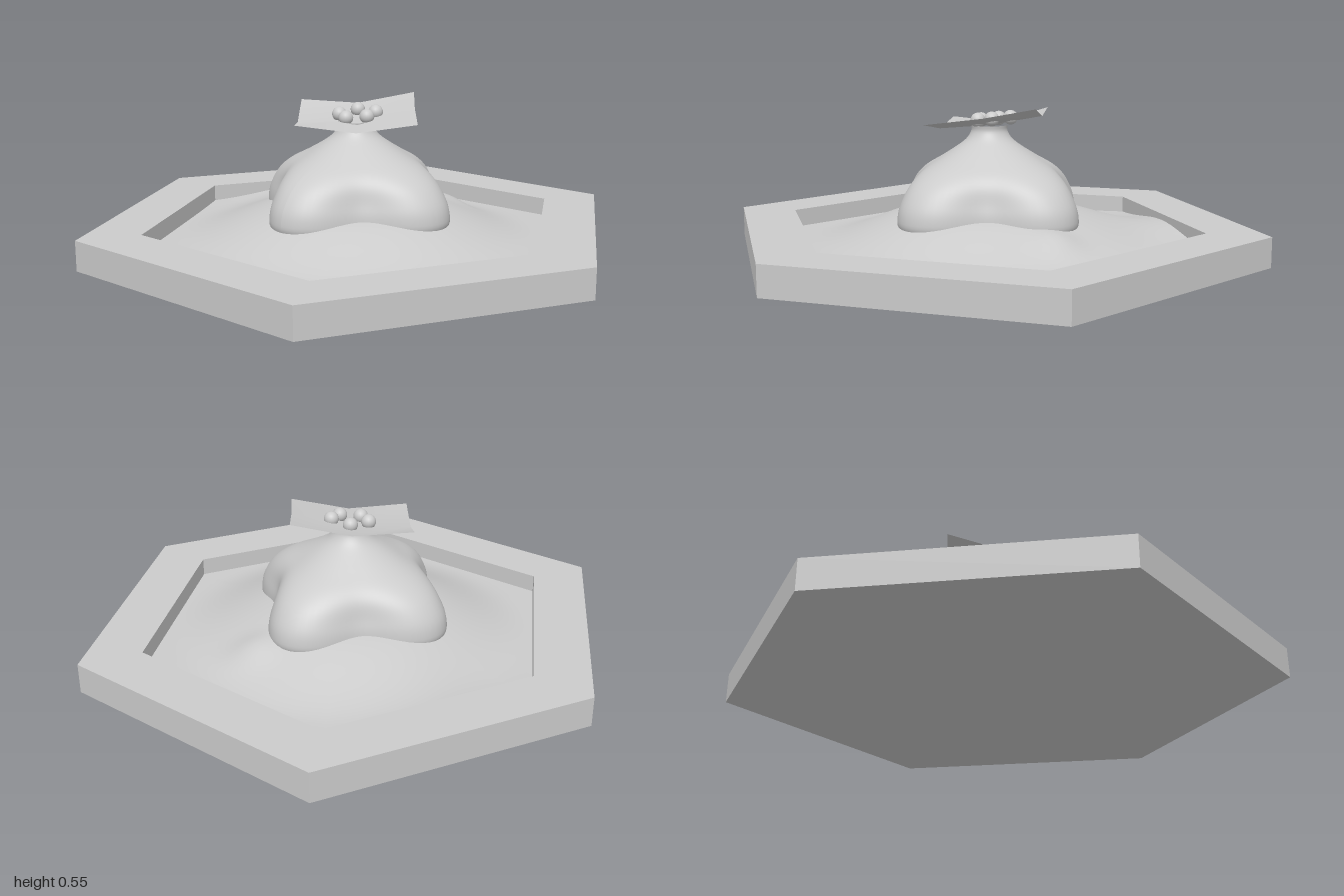
import * as THREE from 'three';

const grey = () => new THREE.MeshStandardMaterial({ color: 0xcccccc });
const bump = (x, z, cx, cz, w) => Math.exp(-((x - cx) ** 2 + (z - cz) ** 2) / (w * w));

// Six corners of a flat-topped hexagon
const hexagon = (tip, x, z) => [[tip, 0], [x, z], [-x, z], [-tip, 0], [-x, -z], [x, -z]]
  .map(([a, b]) => new THREE.Vector2(a, b));

// Ground height: low at the rim, rising to the foot of the mound and the back left edge
function groundHeight(x, z) {
  const r = Math.hypot(x, z);
  const t = 1 - THREE.MathUtils.smoothstep(r, 0.22, 0.68);
  return 0.043 + 0.125 * t
    + 0.045 * bump(x, z, -0.62, -0.38, 0.26)
    + 0.025 * bump(x, z, 0.1, -0.44, 0.08);
}

export function createModel() {
  const model = new THREE.Group();
  const add = (name, geometry, material = grey()) => {
    const mesh = new THREE.Mesh(geometry, material);
    mesh.name = name;
    model.add(mesh);
    return mesh;
  };
  const inner = hexagon(0.775, 0.4, 0.69);

  // Hexagonal frame and its closed underside
  const outerShape = new THREE.Shape(hexagon(1, 0.515, 0.885));
  const frameShape = outerShape.clone();
  frameShape.holes.push(new THREE.Path(inner));
  add('frame', new THREE.ExtrudeGeometry(frameShape, { depth: 0.11, bevelEnabled: false })
    .rotateX(-Math.PI / 2));
  add('underside', new THREE.ShapeGeometry(outerShape).rotateX(Math.PI / 2));

  // Uneven ground: a disc stretched to the hexagon, then raised
  const ground = new THREE.RingGeometry(0, 1, 96, 32).rotateX(-Math.PI / 2);
  const gp = ground.attributes.position;
  for (let i = 0; i < gp.count; i++) {
    const r = Math.hypot(gp.getX(i), gp.getZ(i));
    const a = Math.atan2(gp.getZ(i), gp.getX(i)) + Math.PI * 2;
    const s = a / (Math.PI / 3) + 1e-6;
    const k = Math.floor(s);
    const edge = inner[k % 6].clone().lerp(inner[(k + 1) % 6], s - k).multiplyScalar(r);
    gp.setXYZ(i, edge.x, groundHeight(edge.x, edge.y), edge.y);
  }
  ground.computeVertexNormals();
  add('ground', ground);

  // Four-lobed mound with a narrow neck
  const profile = new THREE.SplineCurve([
    [0.35, 0.06], [0.395, 0.12], [0.4, 0.16], [0.385, 0.21], [0.345, 0.265], [0.285, 0.31],
    [0.2, 0.352], [0.13, 0.39], [0.087, 0.42], [0.067, 0.45], [0.068, 0.472],
  ].map(([r, y]) => new THREE.Vector2(r, y))).getPoints(40);
  const mound = new THREE.LatheGeometry(profile, 96);
  const mp = mound.attributes.position;
  for (let i = 0; i < mp.count; i++) {
    const a = Math.atan2(mp.getZ(i), mp.getX(i));
    const depth = 0.14 * (1 - THREE.MathUtils.smoothstep(mp.getY(i), 0.2, 0.45));
    const f = 1 - depth * (1 - Math.cos(4 * a));
    mp.setX(i, mp.getX(i) * f);
    mp.setZ(i, mp.getZ(i) * f);
  }
  mound.computeVertexNormals();
  add('mound', mound);

  // Bent square sheet on the neck
  const rows = [
    [[-0.29, 0.52, -0.02], [-0.12, 0.507, -0.155], [0.05, 0.55, -0.285]],
    [[-0.175, 0.462, 0.125], [0.005, 0.472, -0.01], [0.165, 0.515, -0.14]],
    [[-0.06, 0.48, 0.265], [0.12, 0.456, 0.14], [0.3, 0.49, 0.02]],
  ];
  const sheet = new THREE.PlaneGeometry(1, 1, 2, 2);
  rows.flat().forEach((p, i) => sheet.attributes.position.setXYZ(i, ...p));
  sheet.computeVertexNormals();
  const sheetMaterial = grey();
  sheetMaterial.side = THREE.DoubleSide;
  add('sheet', sheet, sheetMaterial);

  // Ring of five beads
  const bead = new THREE.SphereGeometry(0.027, 20, 14);
  [[-0.045, -0.065], [0.045, -0.06], [0.055, 0.003], [-0.005, 0.05], [-0.065, 0.017]]
    .forEach(([x, z]) => add('bead', bead).position.set(x, 0.493 - 0.12 * z, z));

  return model;
}
